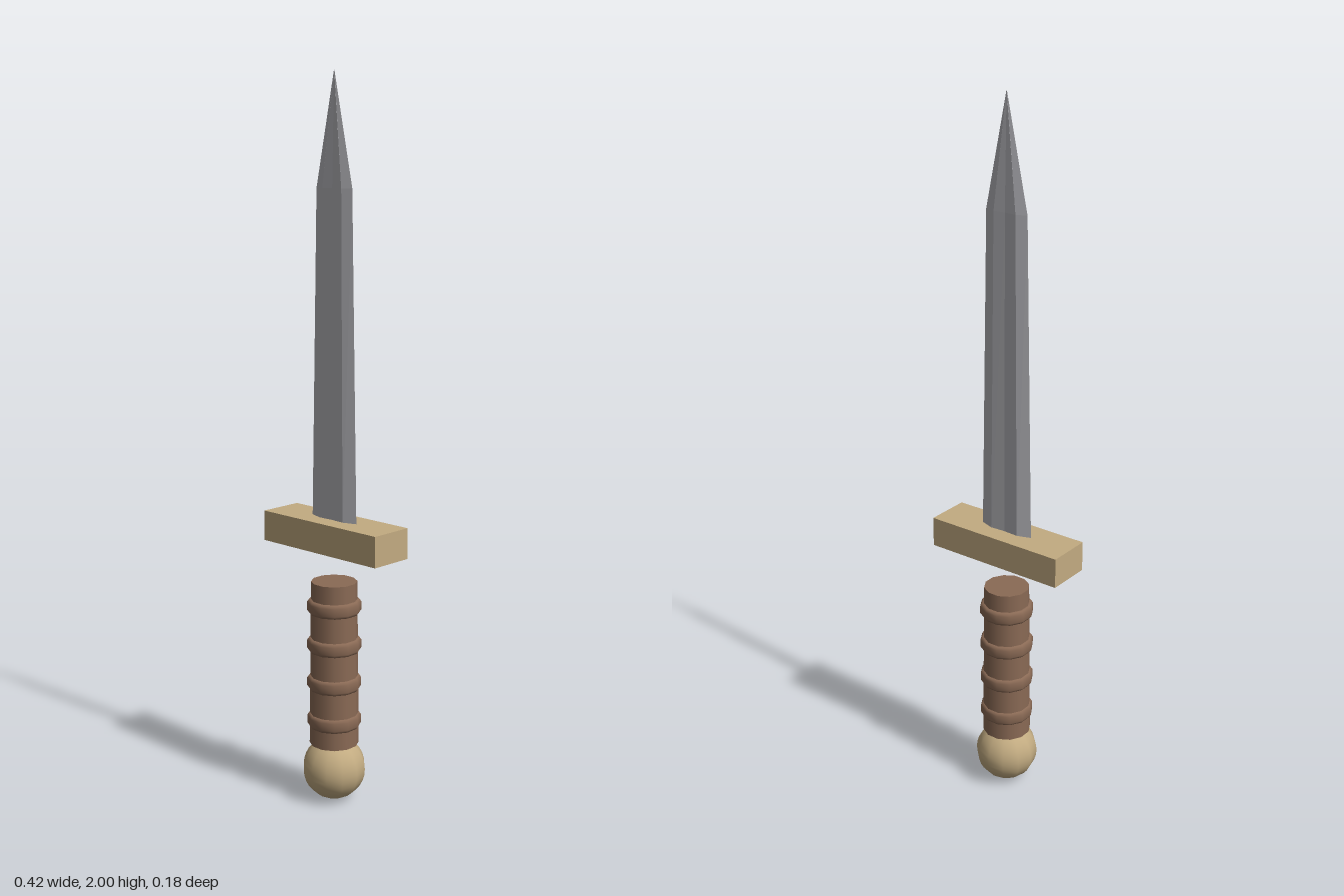
import * as THREE from 'three';

export function createModel() {
  const group = new THREE.Group();
  group.name = 'dagger';
  const material = (name, color, extra = {}) => {
    const m = new THREE.MeshStandardMaterial({ color, ...extra });
    m.name = name;
    return m;
  };
  const steel = material('steel', 0xb4b4b9, { flatShading: true });
  const brass = material('brass', 0xc2ab81);
  const leather = material('leather', 0x8a6a55);

  const add = (name, geometry, mat, y = 0) => {
    const mesh = new THREE.Mesh(geometry, mat);
    mesh.name = name;
    mesh.position.y = y;
    group.add(mesh);
    return mesh;
  };

  // Pommel and cross guard
  add('pommel', new THREE.SphereGeometry(0.089, 12, 16), brass, 0.09);
  add('guard', new THREE.BoxGeometry(0.42, 0.085, 0.128), brass, 0.768);

  // Grip, slightly wider at the bottom, turned so flats face the axes
  const grip = add('grip', new THREE.CylinderGeometry(0.064, 0.069, 0.47, 12), leather, 0.4);
  grip.rotation.y = Math.PI / 12;

  // Rounded bands around the grip
  const bandProfile = [
    [0.06, -0.02], [0.07, -0.019], [0.0755, -0.011],
    [0.0755, 0.011], [0.07, 0.019], [0.06, 0.02],
  ].map(([r, y]) => new THREE.Vector2(r, y));
  for (let i = 0; i < 4; i++) {
    const band = add('gripBand', new THREE.LatheGeometry(bandProfile, 12), leather, 0.235 + i * 0.11);
    band.rotation.y = Math.PI / 12;
  }

  add('blade', bladeGeometry(), steel);
  return group;
}

// Blade: bevelled section with a shallow central groove, tapered to a point
function bladeGeometry() {
  const section = [
    [1, 0], [0.53, -1], [0, -0.8], [-0.53, -1],
    [-1, 0], [-0.53, 1], [0, 0.8], [0.53, 1],
  ];
  // Each level: height, half width, half thickness
  const levels = [[0.8, 0.083, 0.013], [1.7, 0.065, 0.0095], [2, 0.0005, 0.0005]];
  const positions = [];
  const index = [];
  const n = section.length;
  for (const [y, w, t] of levels) {
    for (const [x, z] of section) positions.push(x * w, y, z * t);
  }
  for (let l = 0; l < levels.length - 1; l++) {
    for (let i = 0; i < n; i++) {
      const a = l * n + i;
      const b = l * n + (i + 1) % n;
      index.push(a, b, b + n, a, b + n, a + n);
    }
  }
  const geometry = new THREE.BufferGeometry();
  geometry.setAttribute('position', new THREE.Float32BufferAttribute(positions, 3));
  geometry.setIndex(index);
  geometry.computeVertexNormals();
  return geometry;
}
